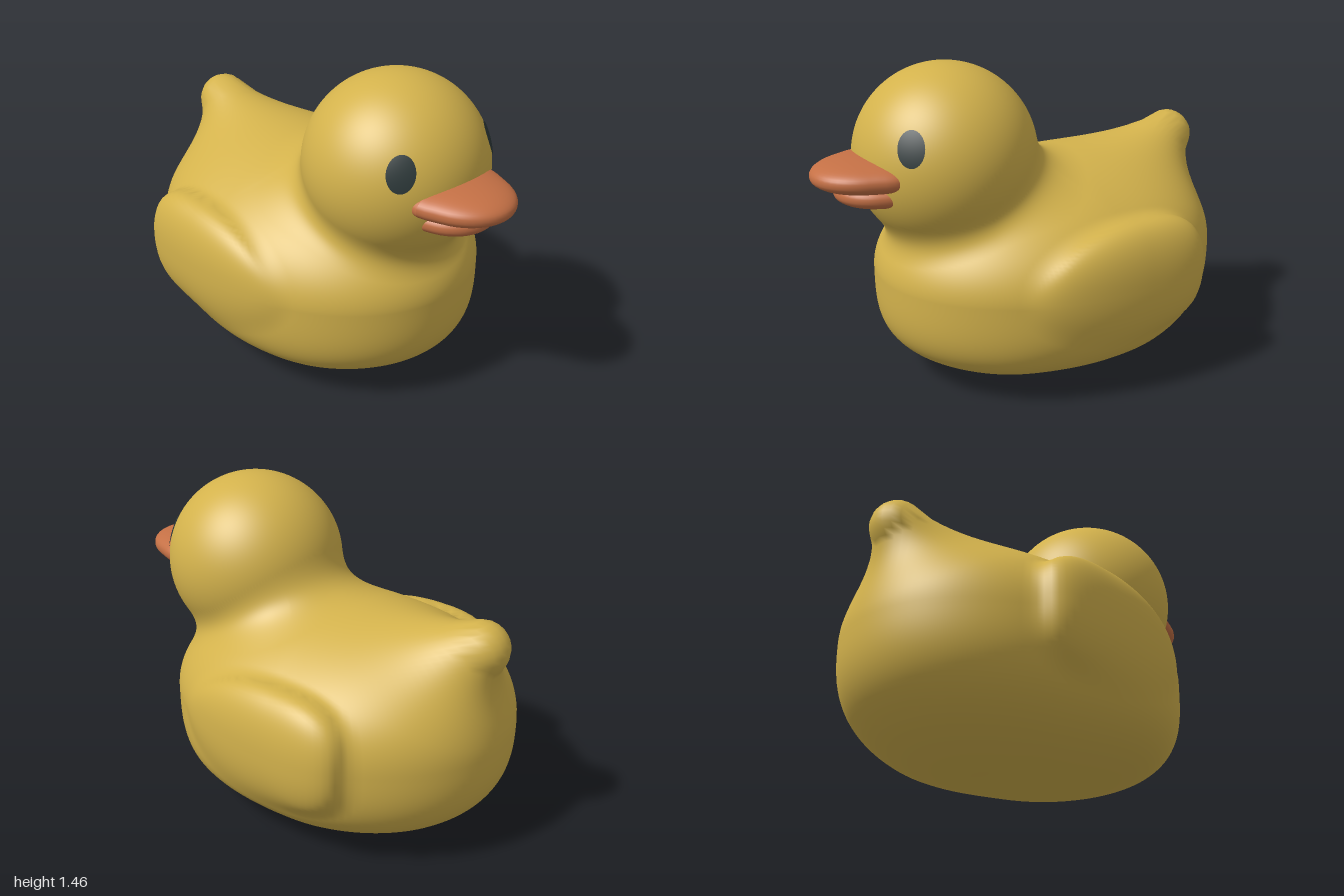
import * as THREE from 'three';

const { lerp, clamp, smoothstep } = THREE.MathUtils;
const HEAD = new THREE.Vector3(0, 1.05, 0.38);
const HEAD_R = 0.41;
const CORE = new THREE.Vector3(0, 0.6, 0.1); // the skin is cast outward from here

const smoothMin = (a, b, k) => {
  const h = Math.max(k - Math.abs(a - b), 0) / k;
  return Math.min(a, b) - h * h * k / 4;
};

// Rounded hull: oval in plan, squarer below its middle than above
function torso(x, y, z) {
  const front = smoothstep(z, -0.3, 0.4);
  const lift = 0.045 * smoothstep(z, -0.4, 0.2);
  const up = y > 0.5;
  const n = up ? 1.88 + 0.4 * smoothstep(-z, 0.2, 0.8) : lerp(2.7, 3.6, front);
  const h = Math.abs(y - 0.5) / (up ? 0.48 : 0.5 - lift);
  const plan = Math.hypot(x / 0.675, (z + 0.15) / 0.845);
  return ((plan ** n + h ** n) ** (1 / n) - 1) * 0.6;
}

// Broad cone running up to the tail knob
function tail(x, y, z) {
  const ay = 0.55, az = -0.42, by = 0.405, bz = -0.453;
  const t = clamp(((y - ay) * by + (z - az) * bz) / (by * by + bz * bz), 0, 1);
  return Math.hypot(x, y - ay - by * t, z - az - bz * t) - lerp(0.45, 0.122, t);
}

// Folded wing, mirrored by |x|: blunt behind, fading out in front
function wing(x, y, z) {
  const rear = z < -0.25;
  const m = rear ? 3 : 2;
  const section = (Math.abs((Math.abs(x) - 0.57) / 0.137) ** 2.3
    + Math.abs((y - 0.525) / 0.268) ** 2.3) ** (1 / 2.3);
  const along = Math.abs(z + 0.25) / (rear ? 0.36 : 0.5);
  return ((section ** m + along ** m) ** (1 / m) - 1) * 0.16;
}

function skin(x, y, z) {
  const head = Math.hypot(x - HEAD.x, y - HEAD.y, z - HEAD.z) - HEAD_R;
  let d = smoothMin(torso(x, y, z), tail(x, y, z), 0.16);
  d = smoothMin(d, wing(x, y, z), 0.03);
  // wider fillet at the nape than at the throat
  return smoothMin(d, head, lerp(0.24, 0.12, smoothstep(z, -0.1, 0.35)));
}

// Push every vertex of a sphere out to the blended skin
function bodyGeometry() {
  const geo = new THREE.SphereGeometry(1, 200, 150);
  const pos = geo.attributes.position;
  const dir = new THREE.Vector3(), p = new THREE.Vector3(), n = new THREE.Vector3();
  const e = 0.002;
  for (let i = 0; i < pos.count; i++) {
    dir.fromBufferAttribute(pos, i).normalize();
    let lo = 0, hi = 1.6;
    for (let s = 0; s < 24; s++) {
      const mid = (lo + hi) / 2;
      p.copy(CORE).addScaledVector(dir, mid);
      if (skin(p.x, p.y, p.z) < 0) lo = mid; else hi = mid;
    }
    pos.setXYZ(i, p.x, p.y, p.z);
    n.set(
      skin(p.x + e, p.y, p.z) - skin(p.x - e, p.y, p.z),
      skin(p.x, p.y + e, p.z) - skin(p.x, p.y - e, p.z),
      skin(p.x, p.y, p.z + e) - skin(p.x, p.y, p.z - e)
    ).normalize();
    geo.attributes.normal.setXYZ(i, n.x, n.y, n.z);
  }
  return geo;
}

// Flattened spoon shape with full lips, flaring where it meets the face
function billGeometry(rx, ry, rz, flare) {
  const geo = new THREE.SphereGeometry(1, 48, 32);
  const pos = geo.attributes.position;
  for (let i = 0; i < pos.count; i++) {
    const y = pos.getY(i), z = pos.getZ(i);
    const widen = 1 + flare * (1 - smoothstep(z, -0.1, 0.35));
    pos.setXYZ(i, pos.getX(i) * rx * widen, Math.sign(y) * Math.abs(y) ** 0.85 * ry, z * rz);
  }
  geo.computeVertexNormals();
  return geo;
}

// Oval patch curved to lie just over the head
function eyeGeometry(tilt) {
  const geo = new THREE.RingGeometry(0, 1, 40, 8);
  geo.scale(0.06, 0.079, 1).rotateZ(tilt);
  const pos = geo.attributes.position;
  const r = HEAD_R + 0.005;
  for (let i = 0; i < pos.count; i++) {
    const x = pos.getX(i), y = pos.getY(i);
    const z = Math.sqrt(r * r - x * x - y * y);
    pos.setZ(i, z);
    geo.attributes.normal.setXYZ(i, x / r, y / r, z / r);
  }
  return geo;
}

export function createModel() {
  const material = (name, color) => {
    const m = new THREE.MeshStandardMaterial({ color });
    m.name = name;
    return m;
  };
  const yellow = material('yellow', 0xd3b24c);
  const orange = material('orange', 0xc47045);
  const black = material('charcoal', 0x2c3839);

  const model = new THREE.Group();
  model.name = 'bathDuck';
  const add = (name, geo, mat, x = 0, y = 0, z = 0) => {
    const mesh = new THREE.Mesh(geo, mat);
    mesh.name = name;
    mesh.position.set(x, y, z);
    model.add(mesh);
    return mesh;
  };

  // Body, head, wings and tail in one skin
  add('body', bodyGeometry(), yellow);

  // Bill
  add('upperBill', billGeometry(0.22, 0.074, 0.265, 0.09), orange, 0, 1.032, 0.735);
  add('lowerBill', billGeometry(0.187, 0.066, 0.2, 0.05), orange, 0, 0.948, 0.7);

  // Eyes
  for (const side of [1, -1]) {
    const eye = add(side > 0 ? 'leftEye' : 'rightEye', eyeGeometry(side * 0.1), black, ...HEAD);
    eye.rotation.order = 'YXZ';
    eye.rotation.set(-0.323, side * 0.733, 0);
  }
  return model;
}
